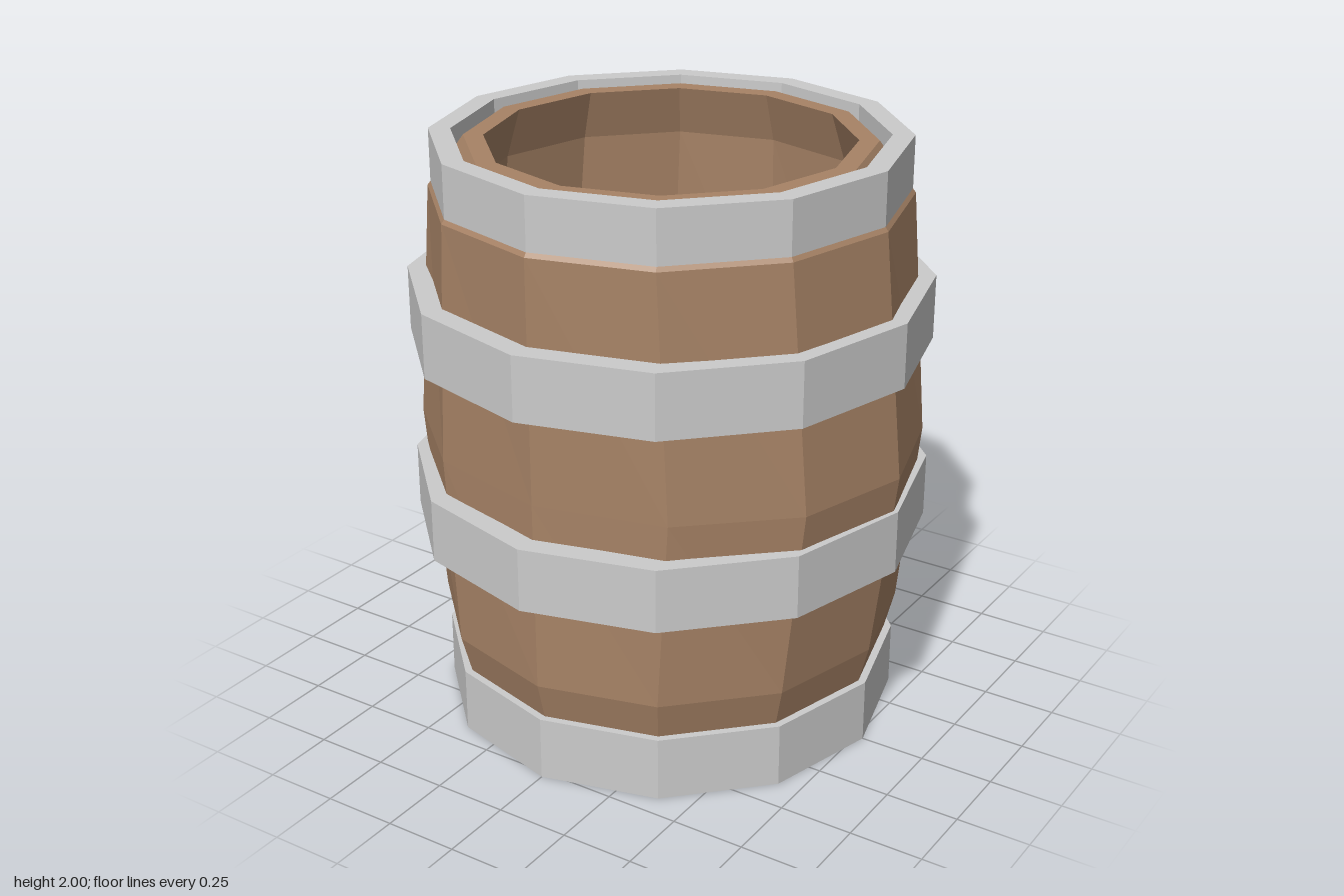
import * as THREE from 'three';

const SIDES = 12;
const wood = new THREE.MeshStandardMaterial({ color: 0xa78366, flatShading: true });
const metal = new THREE.MeshStandardMaterial({ color: 0xcccccc, flatShading: true });

// Faceted solid of revolution from [radius, height] pairs
function lathe(name, profile, material) {
  const points = profile.map(([r, y]) => new THREE.Vector2(r, y));
  const mesh = new THREE.Mesh(new THREE.LatheGeometry(points, SIDES), material);
  mesh.name = name;
  return mesh;
}

// Flat metal band with a rectangular section
function hoop(name, inner, outer, bottom, top) {
  return lathe(name, [
    [inner, bottom], [outer, bottom], [outer, top], [inner, top], [inner, bottom],
  ], metal);
}

export function createModel() {
  const group = new THREE.Group();
  group.name = 'barrel';

  // Hollow wooden body: base, outer wall, rim, inner wall, floor
  const body = lathe('body', [
    [0, 0.02], [0.70, 0.02], [0.785, 0.35], [0.787, 1], [0.787, 1.81],
    [0.665, 1.98], [0.60, 1.98],
    [0.655, 1.81], [0.68, 1], [0.66, 0.35], [0.54, 0.12], [0, 0.12],
  ], wood);

  // The middle rings bulge sideways only
  const pos = body.geometry.attributes.position;
  for (let i = 0; i < pos.count; i++) {
    if (Math.abs(pos.getY(i) - 1) < 0.01) pos.setX(i, pos.getX(i) * 1.1);
  }
  body.geometry.computeVertexNormals();
  group.add(body);

  // Metal hoops
  group.add(
    hoop('bottomHoop', 0.705, 0.777, 0, 0.22),
    hoop('lowerMiddleHoop', 0.79, 0.867, 0.667, 0.883),
    hoop('upperMiddleHoop', 0.79, 0.867, 1.312, 1.53),
    hoop('topHoop', 0.705, 0.777, 1.81, 2),
  );
  return group;
}
